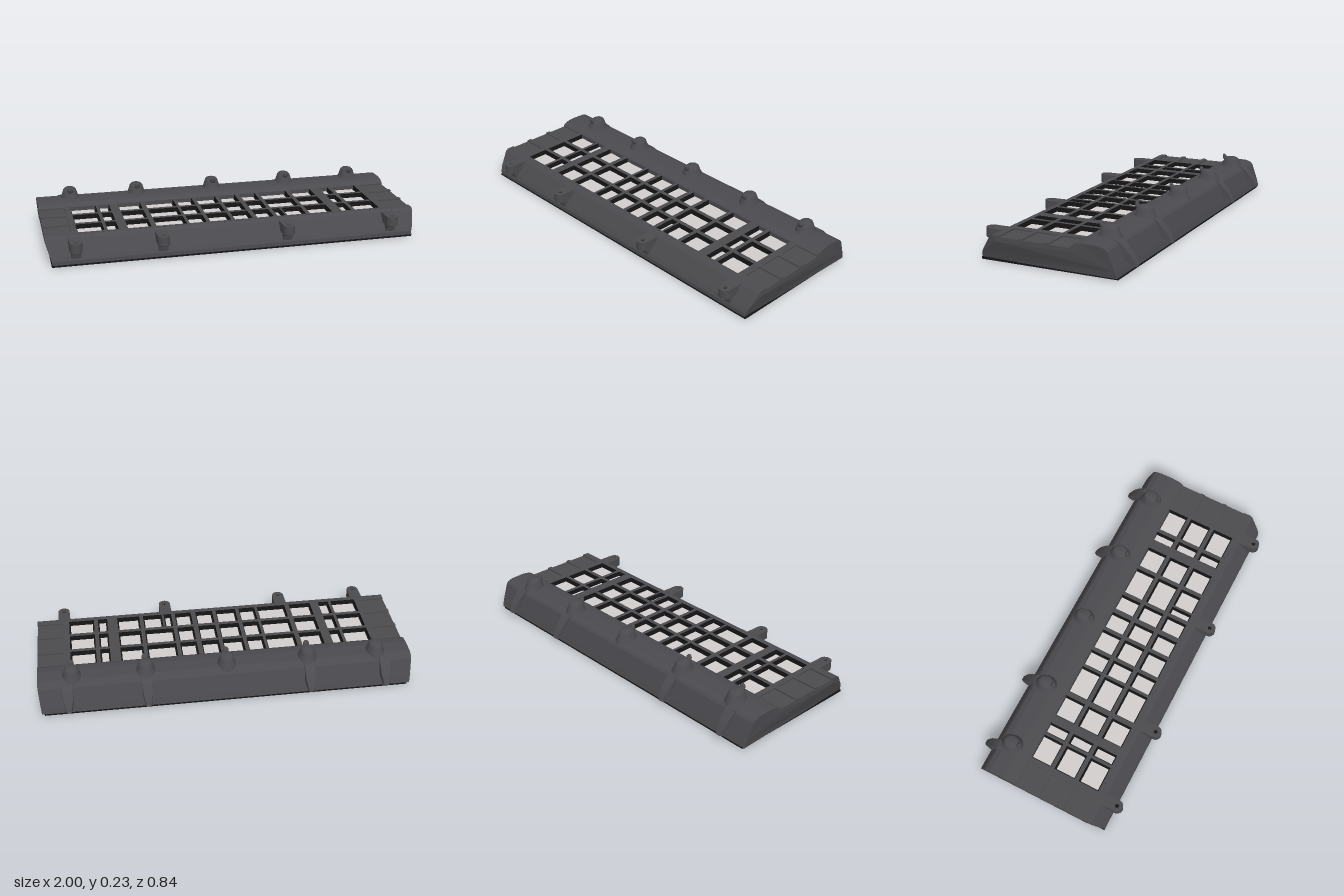
import * as THREE from 'three';

const mat = (name, color) => {
  const m = new THREE.MeshStandardMaterial({ color });
  m.name = name;
  return m;
};

export function createModel() {
  const grey = mat('casing grey', 0x4b4b4f);
  const black = mat('shadow black', 0x161617);
  const pale = mat('window pale', 0xd2cece);
  const model = new THREE.Group();
  model.name = 'gridTray';

  const add = (name, geo, material, x = 0, y = 0, z = 0, parent = model) => {
    const m = new THREE.Mesh(geo, material);
    m.name = name;
    m.position.set(x, y, z);
    parent.add(m);
    return m;
  };
  const shapeOf = pts => new THREE.Shape(pts.map(p => new THREE.Vector2(p[0], p[1])));
  // extrude a (z, y) profile along x, centred on x = 0
  const alongX = (pts, width, opts = {}) => {
    const g = new THREE.ExtrudeGeometry(shapeOf(pts), { depth: width, bevelEnabled: false, ...opts });
    g.rotateY(-Math.PI / 2);
    g.translate(width / 2, 0, 0);
    return g;
  };
  // extrude an (x, -z) plan upwards from y = 0
  const upward = (shape, height) => {
    const g = new THREE.ExtrudeGeometry(shape, { depth: height, bevelEnabled: false, curveSegments: 10 });
    g.rotateX(-Math.PI / 2);
    return g;
  };

  // main casing: sloped front, raised back band, sunken middle
  const body = alongX([
    [-0.375, 0.01], [-0.365, 0.045], [-0.33, 0.137], [-0.318, 0.15], [-0.29, 0.16], [-0.21, 0.163],
    [-0.165, 0.157], [-0.145, 0.147], [-0.137, 0.139], [-0.137, 0.11], [0.28, 0.11], [0.28, 0.14],
    [0.295, 0.139], [0.31, 0.128], [0.362, 0.052], [0.374, 0.03], [0.375, 0.01],
  ], 2, { steps: 50 });
  const p = body.attributes.position;
  for (let i = 0; i < p.count; i++) {
    // round the corners in plan
    const x = p.getX(i), z = p.getZ(i);
    if (Math.abs(x) > 0.99) {
      const t = Math.max(0, Math.abs(z) - 0.31) / 0.065;
      p.setX(i, Math.sign(x) * (Math.abs(x) - (z > 0 ? 0.03 : 0.012) * t * t));
    }
  }
  body.computeVertexNormals();
  add('casing', body, grey);
  add('basePlate', new THREE.BoxGeometry(1.95, 0.012, 0.748), black, 0, 0.006, 0);

  // window grid: [left, right] of every column
  const columns = [
    [-0.82, -0.697], [-0.664, -0.622], [-0.557, -0.45], [-0.407, -0.262], [-0.23, -0.155], [-0.118, -0.021],
    [0.016, 0.096], [0.139, 0.214], [0.252, 0.396], [0.434, 0.543], [0.616, 0.653], [0.691, 0.814],
  ];
  const split = [[0.252, 0.278], [0.306, 0.396]];
  const rows = [[-0.134, -0.028], [0.01, 0.116], [0.155, 0.257]];
  const rim = 0.008;
  const rect = (C, x0, x1, y0, y1) => {
    const s = new C();
    s.moveTo(x0, y0);
    s.lineTo(x1, y0);
    s.lineTo(x1, y1);
    s.lineTo(x0, y1);
    s.closePath();
    return s;
  };
  const frame = rect(THREE.Shape, -0.84, 0.84, -0.281, 0.148);
  const windows = new THREE.Group();
  windows.name = 'windows';
  model.add(windows);
  rows.forEach(([z0, z1], r) => {
    const cols = r === 2 ? columns.flatMap((c, i) => (i === 8 ? split : [c])) : columns;
    for (const [x0, x1] of cols) {
      frame.holes.push(rect(THREE.Path, x0 - rim, x1 + rim, -z1 - rim, -z0 + rim));
      add('window', new THREE.BoxGeometry(x1 - x0, 0.004, z1 - z0), pale,
        (x0 + x1) / 2, 0.116, (z0 + z1) / 2, windows);
    }
  });
  add('gridFrame', upward(frame, 0.03), [grey, black], 0, 0.1101, 0);
  add('gridFloor', new THREE.BoxGeometry(1.67, 0.004, 0.416), black, 0, 0.112, 0.072);

  // end panels: shallow pads parted by ridges
  for (const s of [-1, 1]) {
    add('endPanel', new THREE.BoxGeometry(0.16, 0.024, 0.418), grey, s * 0.919, 0.12, 0.0715);
    for (const z of [-0.009, 0.135, 0.268]) {
      add('endRidge', new THREE.BoxGeometry(0.16, 0.03, 0.026), grey, s * 0.919, 0.125, z);
    }
    add('endBar', new THREE.BoxGeometry(0.02, 0.03, 0.418), grey, s * 0.85, 0.125, 0.0715);
  }

  // back knobs, each with a small front nub
  const knobGeo = new THREE.LatheGeometry([
    [0.066, 0.13], [0.06, 0.155], [0.051, 0.17], [0.044, 0.19], [0.039, 0.205], [0.03, 0.213], [0, 0.216],
  ].map(a => new THREE.Vector2(a[0], a[1])), 20);
  knobGeo.scale(0.9, 1, 1.08);
  const nubGeo = new THREE.SphereGeometry(0.014, 12, 8);
  nubGeo.scale(1.2, 1.5, 0.8);
  // curved fin hanging over the back edge, narrowing to its tip
  const finGeo = alongX([
    [-0.28, 0.165], [-0.325, 0.153], [-0.355, 0.127], [-0.385, 0.09], [-0.405, 0.06],
    [-0.417, 0.038], [-0.405, 0.033], [-0.375, 0.047], [-0.35, 0.06], [-0.32, 0.09],
  ], 0.054);
  const f = finGeo.attributes.position;
  for (let i = 0; i < f.count; i++) {
    const t = Math.max(0, -f.getZ(i) - 0.36) / 0.057;
    const edge = f.getZ(i) < -0.3 ? 1 - 0.6 * t * t : 1;
    f.setX(i, f.getX(i) * edge);
  }
  finGeo.computeVertexNormals();
  [[-0.815, -0.85], [-0.44, -0.44], [-0.003, null], [0.43, 0.43], [0.82, 0.846]].forEach(([x, finX]) => {
    add('knob', knobGeo, grey, x, 0, -0.256);
    add('knobNub', nubGeo, grey, x, 0.209, -0.214).rotation.x = 0.3;
    if (finX !== null) add('backFin', finGeo, grey, finX, 0, 0);
  });

  // front lugs with a round hole and a curved bracket below
  const lug = new THREE.Shape();
  lug.moveTo(-0.034, -0.285);
  lug.lineTo(-0.032, -0.387);
  lug.absarc(0, -0.387, 0.032, Math.PI, Math.PI * 2, false);
  lug.lineTo(0.034, -0.285);
  lug.closePath();
  const hole = new THREE.Path();
  hole.absarc(0, -0.387, 0.011, 0, Math.PI * 2, true);
  lug.holes.push(hole);
  const lugGeo = upward(lug, 0.05);
  const bracketGeo = alongX([
    [0.32, 0.09], [0.405, 0.083], [0.39, 0.077], [0.38, 0.065], [0.374, 0.04], [0.34, 0.04],
  ], 0.05);
  const plugGeo = new THREE.CylinderGeometry(0.0115, 0.0115, 0.006, 14);
  for (const x of [-0.85, -0.4, 0.27, 0.85]) {
    add('frontLug', lugGeo, grey, x, 0.081, 0);
    add('lugBracket', bracketGeo, grey, x, 0, 0);
    add('lugHole', plugGeo, black, x, 0.118, 0.387);
  }
  return model;
}
